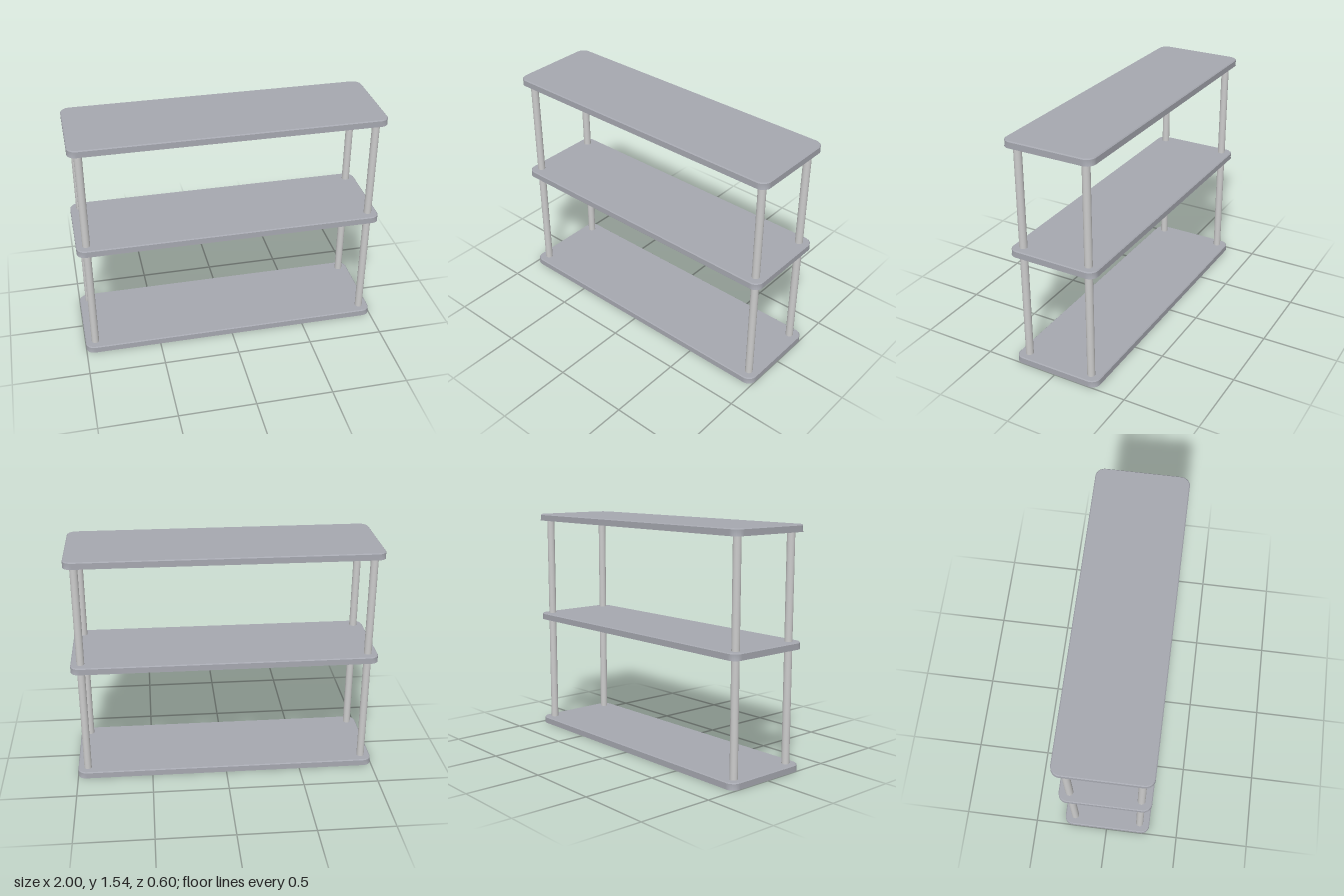
import * as THREE from 'three';
import { toCreasedNormals } from 'three/addons/utils/BufferGeometryUtils.js';

const W = 2, D = 0.6, T = 0.045, R = 0.06, B = 0.006;
const SHELF_Y = [0, 0.78, 1.495];
const POST_X = 0.935, POST_Z = 0.23, POST_R = 0.025;

// Rounded board standing on y = 0, with a fine chamfer on the top edge only
function shelfGeometry() {
  const x = W / 2, y = D / 2;
  const s = new THREE.Shape();
  s.absarc(x - R, y - R, R, 0, Math.PI / 2);
  s.absarc(-x + R, y - R, R, Math.PI / 2, Math.PI);
  s.absarc(-x + R, -y + R, R, Math.PI, Math.PI * 1.5);
  s.absarc(x - R, -y + R, R, Math.PI * 1.5, Math.PI * 2);
  const g = new THREE.ExtrudeGeometry(s, {
    depth: T - 2 * B, bevelThickness: B, bevelSize: B, bevelOffset: -B,
    bevelSegments: 1, curveSegments: 10,
  });
  // Widen the bottom ring so the lower edge stays square
  const p = g.attributes.position;
  for (let i = 0; i < p.count; i++) {
    if (p.getZ(i) < -B / 2) {
      p.setX(i, p.getX(i) * W / (W - 2 * B));
      p.setY(i, p.getY(i) * D / (D - 2 * B));
    }
  }
  g.translate(0, 0, B);
  g.rotateX(-Math.PI / 2);
  return toCreasedNormals(g, 0.5);
}

export function createModel() {
  const model = new THREE.Group();
  model.name = 'shelfUnit';
  const shelfMat = new THREE.MeshStandardMaterial({ color: 0xa6a8b0 });
  const postMat = new THREE.MeshStandardMaterial({ color: 0xcccccc });

  // Three identical shelves
  const board = shelfGeometry();
  ['bottomShelf', 'middleShelf', 'topShelf'].forEach((name, i) => {
    const shelf = new THREE.Mesh(board, shelfMat);
    shelf.name = name;
    shelf.position.y = SHELF_Y[i];
    model.add(shelf);
  });

  // Four round posts in each gap between shelves
  for (let i = 0; i < 2; i++) {
    const low = SHELF_Y[i] + T, high = SHELF_Y[i + 1];
    const geo = new THREE.CylinderGeometry(POST_R, POST_R, high - low, 32);
    for (const sx of [-1, 1]) for (const sz of [-1, 1]) {
      const post = new THREE.Mesh(geo, postMat);
      post.name = `${i ? 'upper' : 'lower'}${sz > 0 ? 'Front' : 'Back'}${sx > 0 ? 'Left' : 'Right'}Post`;
      post.position.set(sx * POST_X, (low + high) / 2, sz * POST_Z);
      model.add(post);
    }
  }
  return model;
}
